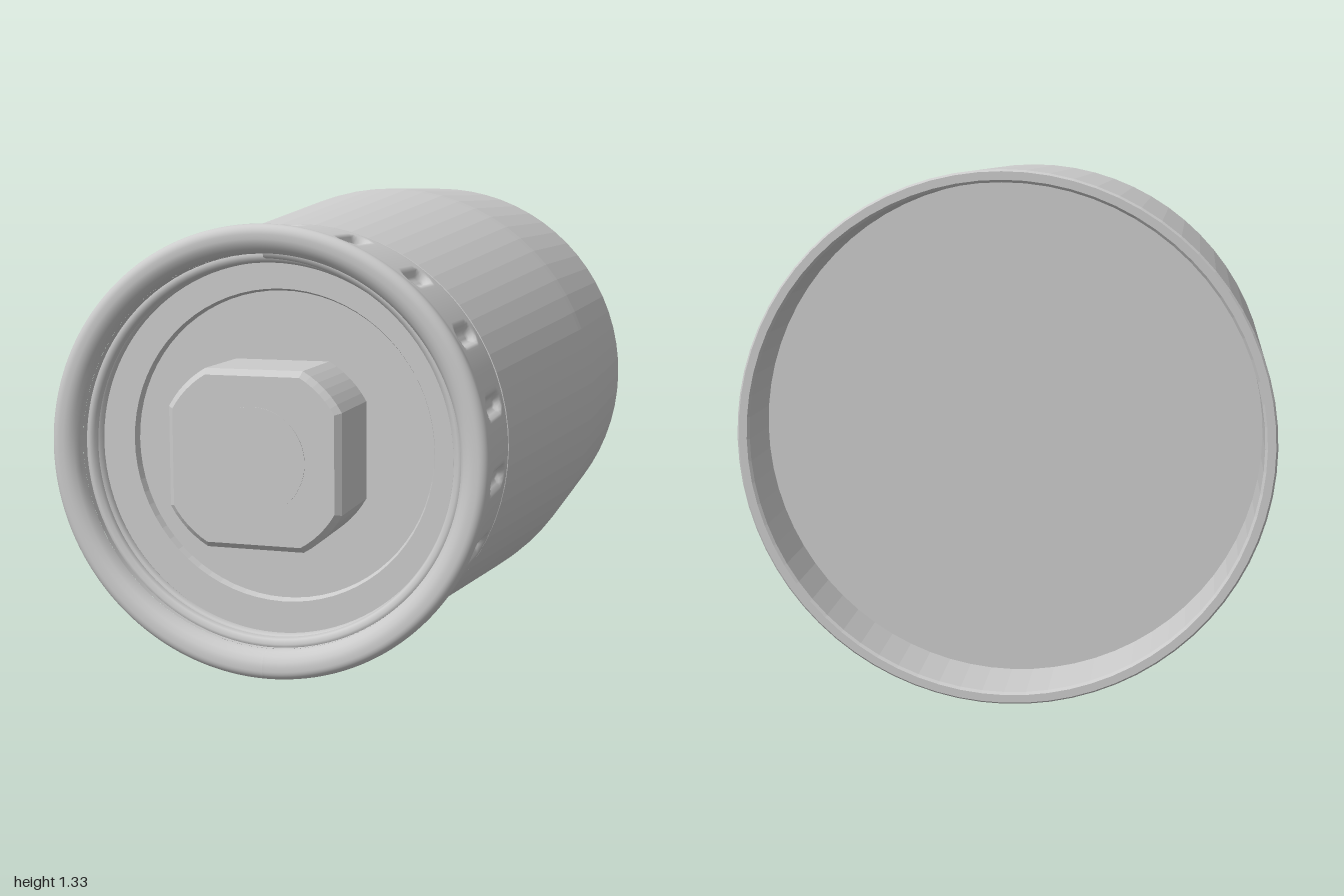
import * as THREE from 'three';

const AXIS_Y = 0.663;
const GROOVES = 19;

const v2 = (pts) => pts.map(([r, z]) => new THREE.Vector2(r, z));

// Revolve an [r, z] profile around the z axis
function revolve(profile, segments) {
  return new THREE.LatheGeometry(v2(profile), segments).rotateX(Math.PI / 2);
}

function addMesh(group, name, geometry, options = {}) {
  const mesh = new THREE.Mesh(geometry, new THREE.MeshStandardMaterial({ color: 0xcccccc, ...options }));
  mesh.name = name;
  group.add(mesh);
  return mesh;
}

// Press evenly spaced capsule-shaped dents into the collar's outer wall
function pressGrooves(geometry) {
  const p = geometry.attributes.position;
  const step = (2 * Math.PI) / GROOVES;
  const start = THREE.MathUtils.degToRad(89);
  for (let i = 0; i < p.count; i++) {
    const x = p.getX(i), y = p.getY(i), z = p.getZ(i);
    const r = Math.hypot(x, y);
    if (r < 0.56) continue;
    const turns = (Math.atan2(y, x) - start) / step;
    const arc = (turns - Math.round(turns)) * step * r;
    const along = z - THREE.MathUtils.clamp(z, 0.715, 0.83);
    const d = Math.hypot(arc, along);
    const depth = 0.02 * (1 - THREE.MathUtils.smoothstep(d, 0.014, 0.031));
    p.setXY(i, x * (1 - depth / r), y * (1 - depth / r));
  }
  geometry.computeVertexNormals();
  return geometry;
}

// Helical ridge inside the collar
class Helix extends THREE.Curve {
  getPoint(t, target = new THREE.Vector3()) {
    const a = t * 2.25 * 2 * Math.PI;
    const r = 0.497 + 0.012 * Math.max(0, Math.abs(t - 0.5) * 10 - 4);
    return target.set(r * Math.cos(a), r * Math.sin(a), 0.815 + 0.08 * t);
  }
}

export function createModel() {
  const model = new THREE.Group();
  const parts = new THREE.Group();
  parts.name = 'canister';
  parts.position.y = AXIS_Y;
  model.add(parts);

  // Tapered body with a recessed back panel
  addMesh(parts, 'body', revolve([
    [0, -0.83], [0.632, -0.83], [0.632, -0.994], [0.638, -1], [0.658, -1], [0.663, -0.994],
    [0.663, -0.29], [0.66, -0.25], [0.57, 0.642], [0.55, 0.65], [0, 0.65],
  ], 72), { flatShading: true });

  // Collar: grooved wall, slight flange and rounded lip
  const wall = [[0.55, 0.645], [0.562, 0.645], [0.568, 0.648], [0.57, 0.655]];
  for (let z = 0.665; z < 0.885; z += 0.008) wall.push([0.57, z]);
  wall.push([0.573, 0.9], [0.577, 0.915]);
  for (let i = 1; i <= 8; i++) {
    const a = (i / 8) * Math.PI / 2;
    wall.push([0.552 + 0.025 * Math.cos(a), 0.92 + 0.025 * Math.sin(a)]);
  }
  wall.push([0.54, 0.945], [0.528, 0.942], [0.515, 0.934], [0.506, 0.922], [0.503, 0.905]);
  addMesh(parts, 'collar', pressGrooves(revolve(wall, GROOVES * 24)));

  // Socket inside the collar
  addMesh(parts, 'socketWall', revolve([[0.503, 0.905], [0.503, 0.79]], 96));
  addMesh(parts, 'socketFloor', revolve([
    [0.503, 0.79], [0.41, 0.79], [0.404, 0.77], [0, 0.77],
  ], 72), { flatShading: true });
  addMesh(parts, 'innerThread', new THREE.TubeGeometry(new Helix(), 240, 0.018, 8, false));

  // Square knob with its corners cut by a circle
  const half = 0.225, corner = 0.258;
  const a0 = Math.acos(half / corner);
  const outline = [];
  for (let q = 0; q < 4; q++) {
    for (let i = 0; i <= 6; i++) {
      const a = q * Math.PI / 2 + a0 + (Math.PI / 2 - 2 * a0) * (i / 6);
      outline.push(new THREE.Vector2(corner * Math.cos(a), corner * Math.sin(a)));
    }
  }
  const knob = new THREE.ExtrudeGeometry(new THREE.Shape(outline), {
    depth: 0.241, bevelEnabled: true, bevelThickness: 0.015, bevelSize: 0.015, bevelOffset: -0.015, bevelSegments: 1,
  });
  addMesh(parts, 'knob', knob).position.z = 0.742;

  // Round inlay on the knob face
  const inlay = new THREE.CylinderGeometry(0.135, 0.135, 0.01, 64).rotateX(Math.PI / 2);
  addMesh(parts, 'knobInlay', inlay).position.z = 0.995;

  return model;
}
